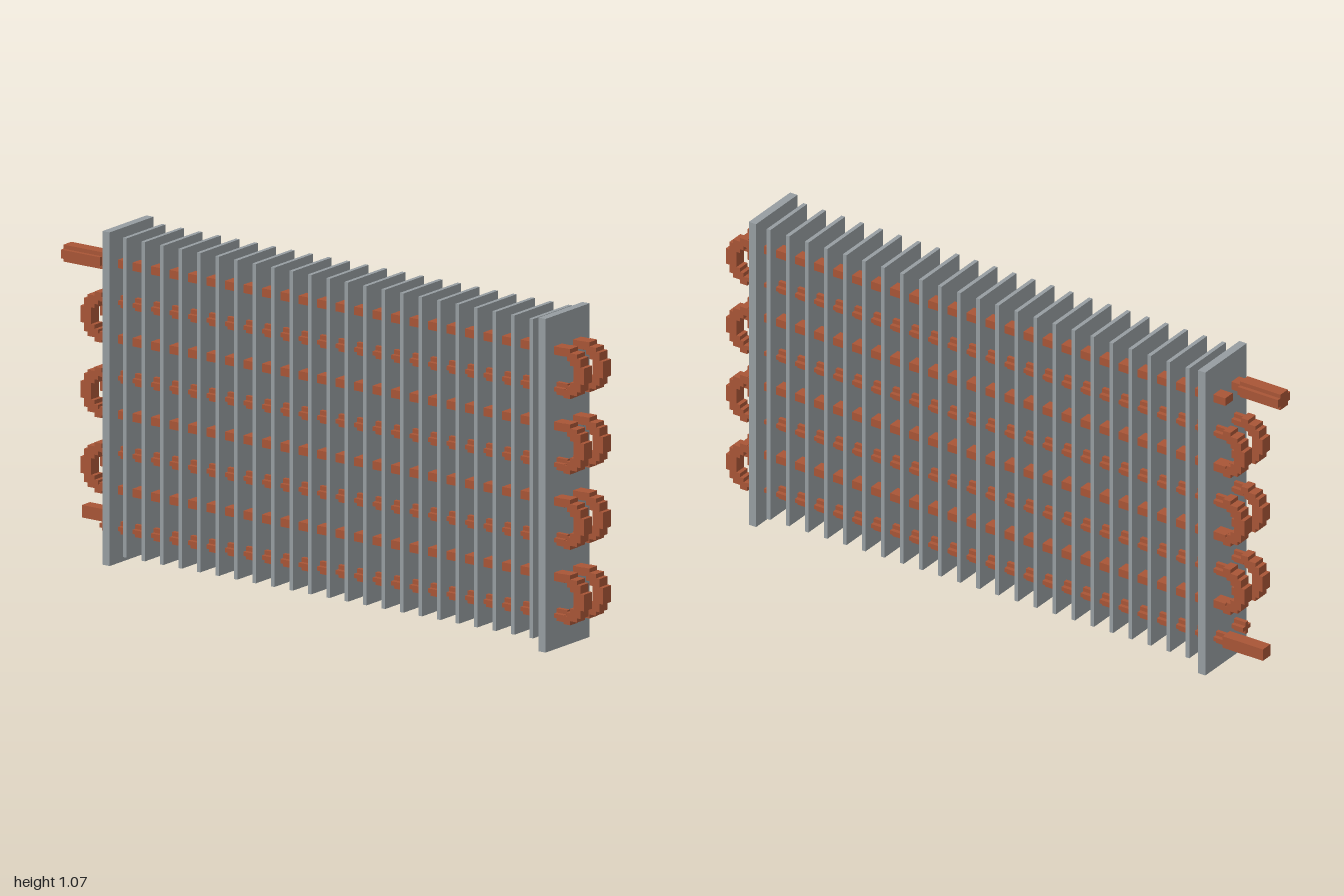
import * as THREE from 'three';

const CELL = 0.0133; // step size of the blocky tubing

export function createModel() {
  const model = new THREE.Group();
  const copper = new THREE.MeshStandardMaterial({ color: 0xa85536 });
  copper.name = 'copper';
  const metal = new THREE.MeshStandardMaterial({ color: 0x969da1 });
  metal.name = 'grey metal';

  // Box given by its limits on each axis
  function box(parent, name, material, x0, x1, y0, y1, z0, z1) {
    const mesh = new THREE.Mesh(new THREE.BoxGeometry(x1 - x0, y1 - y0, z1 - z0), material);
    mesh.position.set((x0 + x1) / 2, (y0 + y1) / 2, (z0 + z1) / 2);
    mesh.name = name;
    parent.add(mesh);
  }

  // End plates
  for (const x of [-0.802, 0.871]) box(model, 'endPlate', metal, x - 0.0135, x + 0.0135, 0, 1.065, -0.113, 0.113);

  // Cooling fins
  const fins = new THREE.Group();
  fins.name = 'fins';
  for (let i = 0; i < 23; i++) {
    const x = -0.74 + i * 0.0709;
    box(fins, 'fin', metal, x - 0.0067, x + 0.0067, 0.033, 1.052, -0.1, 0.1);
  }
  model.add(fins);

  // Stepped half ring joining two tubes; side is +1 or -1 along x
  const outer = [6, 6, 5, 5, 4, 2];
  const inner = [3, 3, 2, 1, 0, 0];
  function addBend(parent, side, cx, cy, z) {
    const bend = new THREE.Group();
    bend.name = 'returnBend';
    for (let row = -6; row < 6; row++) {
      const k = row < 0 ? -row - 1 : row;
      const a = cx + side * inner[k] * CELL;
      const b = cx + side * outer[k] * CELL;
      box(bend, 'bendStep', copper, Math.min(a, b), Math.max(a, b),
        cy + row * CELL, cy + (row + 1) * CELL, z - 0.0205, z + 0.0205);
    }
    parent.add(bend);
  }

  // Two serpentine coils, front and back
  for (const z of [0.049, -0.049]) {
    const coil = new THREE.Group();
    coil.name = z > 0 ? 'frontCoil' : 'backCoil';
    for (let i = 0; i < 4; i++) {
      const top = 0.955 - i * 0.2407; // flat tube, 2 steps high
      const low = top - 0.124;        // cross-shaped tube, 3 steps high
      box(coil, 'flatTube', copper, -0.86, 0.925, top - CELL, top + CELL, z - 0.0205, z + 0.0205);
      box(coil, 'crossTube', copper, -0.86, 0.925, low - 0.02, low + 0.02, z - 0.0067, z + 0.0067);
      box(coil, 'crossTube', copper, -0.86, 0.925, low - 0.0067, low + 0.0067, z - 0.0205, z + 0.0205);
      addBend(coil, 1, 0.92, top - 0.0655, z);
      if (i < 3) addBend(coil, -1, -0.852, low - 0.0585, z);
    }
    model.add(coil);
  }

  // Wide inlet with notched corners, top of the front coil
  const inlet = new THREE.Group();
  inlet.name = 'inletPipe';
  box(inlet, 'inletCore', copper, -1, -0.85, 0.927, 0.981, 0.026, 0.067);
  box(inlet, 'inletSides', copper, -1, -0.85, 0.94, 0.968, 0.013, 0.08);
  model.add(inlet);

  // Outlet, bottom of the back coil
  box(model, 'outletPipe', copper, -1, -0.85, 0.089, 0.129, -0.0695, -0.0285);

  return model;
}
